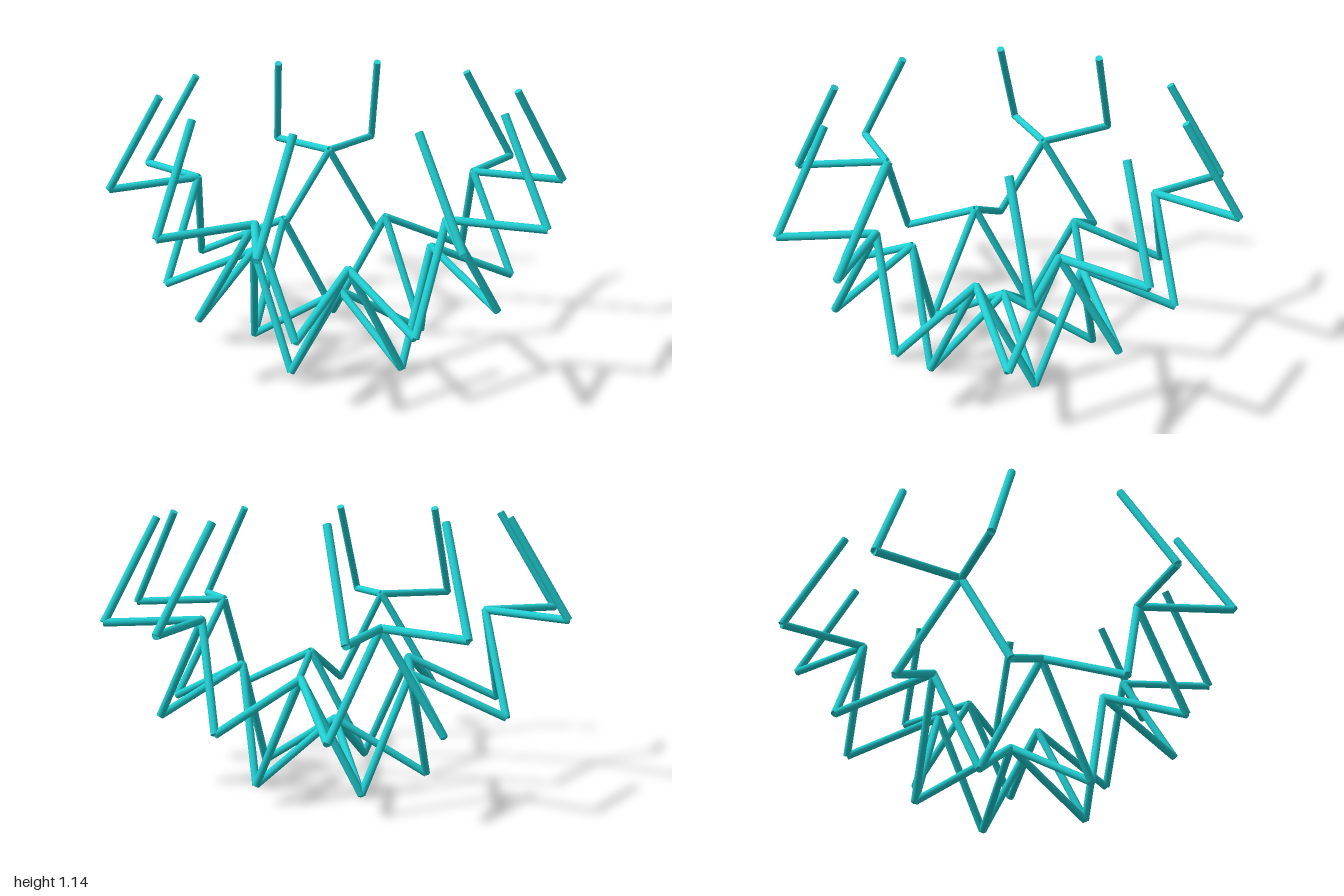
import * as THREE from 'three';

const L = 0.396;                                   // long edge, seen in plan
const S = 2 * L * Math.sin(Math.PI / 10);          // short edge, seen in plan
const RADIUS = 0.0165;
const CENTRE_Z = -0.025;
const deg = THREE.MathUtils.degToRad;

export function createModel() {
  const model = new THREE.Group();
  model.name = 'starLattice';
  const material = new THREE.MeshStandardMaterial({ color: 0x20cfd3 });

  // One straight round rod between two nodes
  const rod = (parent, name, a, b) => {
    const dir = b.clone().sub(a);
    const mesh = new THREE.Mesh(new THREE.CylinderGeometry(RADIUS, RADIUS, dir.length(), 16), material);
    mesh.name = name;
    mesh.position.copy(a).add(b).multiplyScalar(0.5);
    mesh.quaternion.setFromUnitVectors(new THREE.Vector3(0, 1, 0), dir.normalize());
    parent.add(mesh);
  };

  // Nodes of one sector, facing +z; side is +1 or -1
  const hub = new THREE.Vector3(0, 0.255, 0);
  const low = new THREE.Vector3(0, 0.015, L);
  const shoulderZ = L * Math.cos(deg(36));
  const halfWidth = L * Math.sin(deg(36));
  const elbowZ = shoulderZ + L;
  const fork = new THREE.Vector3(0, 0.728, elbowZ - S * Math.sin(deg(18)));

  for (let i = 0; i < 5; i++) {
    const sector = new THREE.Group();
    sector.name = 'sector';
    sector.rotation.y = deg(72 * i);
    sector.position.z = CENTRE_Z;
    model.add(sector);

    rod(sector, 'hubSpoke', hub, low);
    for (const side of [1, -1]) {
      const x = side * halfWidth;
      const shoulder = new THREE.Vector3(x, 0.49, shoulderZ);
      const elbow = new THREE.Vector3(x, 0.308, elbowZ);
      const tip = new THREE.Vector3(x, 0.715, fork.z + shoulderZ);
      const prong = new THREE.Vector3(x, 1.13, tip.z - S);
      rod(sector, 'innerZigzag', low, shoulder);
      rod(sector, 'arm', shoulder, elbow);
      rod(sector, 'forkStem', elbow, fork);
      rod(sector, 'forkBranch', fork, tip);
      rod(sector, 'prong', tip, prong);
    }
  }
  return model;
}
